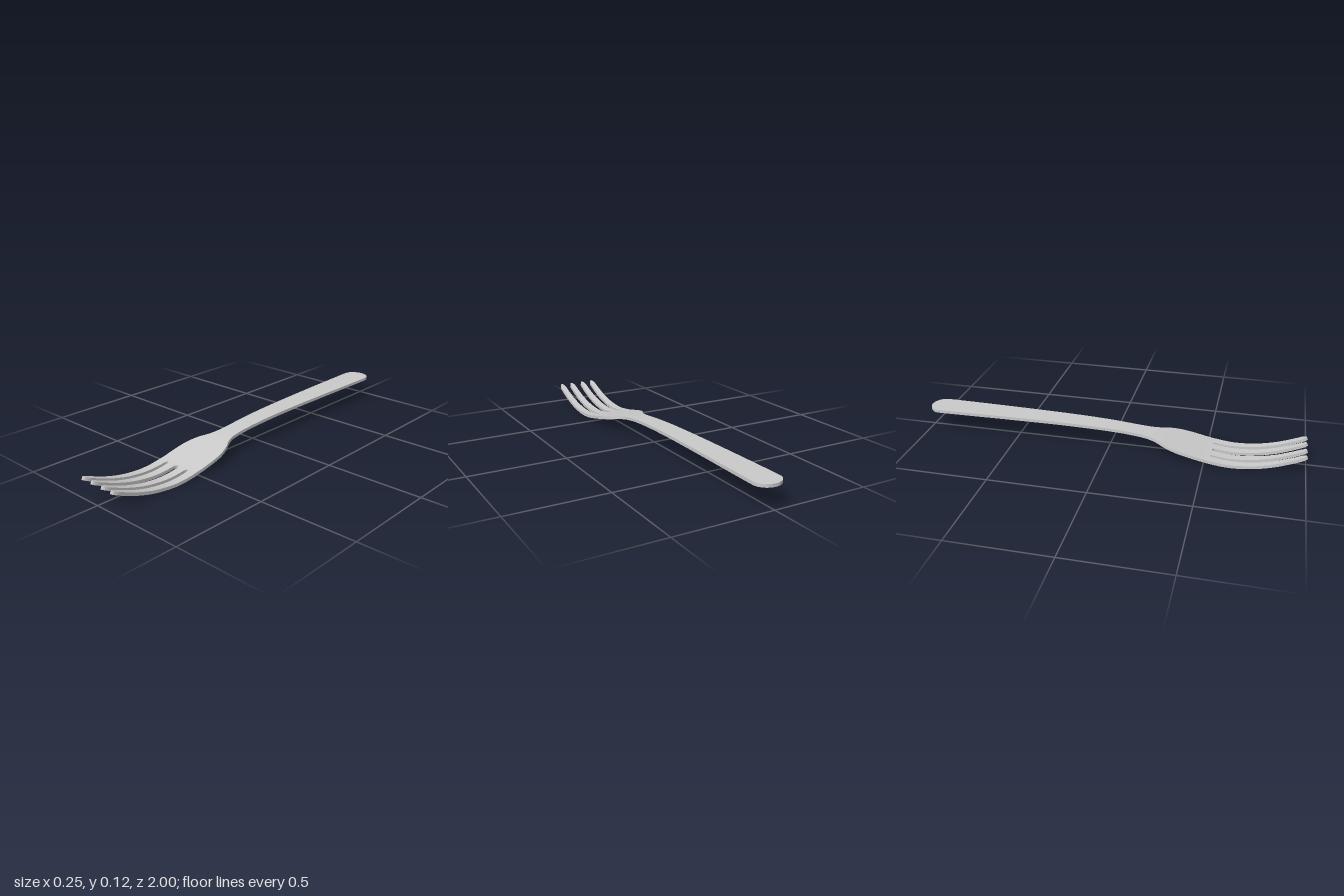
import * as THREE from 'three';
import { toCreasedNormals } from 'three/addons/utils/BufferGeometryUtils.js';

const THICK = 0.016, NECK = 0.2, ROOT = 0.53, TIP = 0.9975;

// Smooth curve through [z, value] keys
function smooth(keys) {
  const slope = (i) => {
    const a = keys[Math.max(i - 1, 0)], b = keys[Math.min(i + 1, keys.length - 1)];
    return (b[1] - a[1]) / (b[0] - a[0]);
  };
  return (z) => {
    let i = 0;
    while (i < keys.length - 2 && z > keys[i + 1][0]) i++;
    const [z0, v0] = keys[i], [z1, v1] = keys[i + 1];
    const d = z1 - z0, t = (z - z0) / d, t2 = t * t, t3 = t2 * t;
    return (2 * t3 - 3 * t2 + 1) * v0 + (t3 - 2 * t2 + t) * d * slope(i)
      + (3 * t2 - 2 * t3) * v1 + (t3 - t2) * d * slope(i + 1);
  };
}

// Side profile: height of the middle of the metal along z
const height = smooth([[-1, 0.112], [-0.5, 0.112], [-0.2, 0.109], [0, 0.102], [0.15, 0.09], [0.25, 0.077],
  [0.4, 0.046], [0.53, 0.019], [0.64, 0.008], [0.75, 0.017], [0.84, 0.037], [0.92, 0.065], [1, 0.099]]);

// Plan: half width of the handle and head, with a rounded handle end
const width = smooth([[-1, 0.071], [-0.9, 0.071], [-0.6, 0.065], [-0.3, 0.058], [0, 0.052], [0.12, 0.05],
  [0.2, 0.055], [0.25, 0.07], [0.3, 0.098], [0.35, 0.115], [0.41, 0.1225], [0.53, 0.123]]);
const END = 0.065;
const round = (s) => Math.sqrt(Math.max(0, 1 - (1 - Math.min(s, 1)) ** 2));
const halfWidth = (z) => width(z) * round((z + 1) / END);

const span = (a, b, n) => Array.from({ length: n + 1 }, (_, i) => a + (b - a) * i / n);
// Denser steps towards a (rounded end at a)
const arcSpan = (a, b, n) => span(0, Math.PI / 2, n).map((t) => a + (b - a) * (1 - Math.cos(t)));

// Bent strip of metal with given left and right edges at each z
function strip(name, zs, edges, material) {
  const rings = zs.map((z) => {
    const [l, r] = edges(z), e = 0.004;
    const slope = (height(z + e) - height(z - e)) / (2 * e);
    const n = THICK / 2 / Math.hypot(1, slope), y = height(z);
    const dy = n, dz = -slope * n;
    return [[l, y + dy, z + dz], [r, y + dy, z + dz], [r, y - dy, z - dz], [l, y - dy, z - dz]];
  });
  const pos = [];
  for (let k = 0; k < rings.length - 1; k++) {
    const a = rings[k], b = rings[k + 1];
    for (let i = 0; i < 4; i++) {
      const j = (i + 1) % 4;
      pos.push(...a[i], ...b[i], ...b[j], ...a[i], ...b[j], ...a[j]);
    }
  }
  const geo = new THREE.BufferGeometry();
  geo.setAttribute('position', new THREE.Float32BufferAttribute(pos, 3));
  const mesh = new THREE.Mesh(toCreasedNormals(geo, 0.6), material);
  mesh.name = name;
  return mesh;
}

export function createModel() {
  const group = new THREE.Group();
  group.name = 'fork';
  const metal = new THREE.MeshStandardMaterial({ color: 0xcccccc });
  const bodyEdges = (z) => [-halfWidth(z), halfWidth(z)];

  // Handle and head
  const handleZ = [...arcSpan(-1, -1 + END, 12), ...span(-1 + END, NECK, 44).slice(1)];
  group.add(strip('handle', handleZ, bodyEdges, metal));
  group.add(strip('head', span(NECK, ROOT, 32), bodyEdges, metal));

  // Four tapering tines; the slots between them have rounded ends
  const ARC = 0.014, POINT = 0.035;
  const tineZ = [...arcSpan(ROOT, ROOT + ARC, 8), ...span(ROOT + ARC, TIP - POINT, 30).slice(1),
    ...arcSpan(TIP, TIP - POINT, 10).reverse().slice(1)];
  const bounds = [-0.123, -0.067, 0, 0.067, 0.123];
  const centres = [-0.1, -0.036, 0.036, 0.1];
  const tines = new THREE.Group();
  tines.name = 'tines';
  centres.forEach((c, i) => {
    const edges = (z) => {
      const t = (z - ROOT) / (TIP - ROOT);
      const half = (0.0235 - 0.009 * t) * round((TIP - z) / POINT);
      const k = round((z - ROOT) / ARC);
      return [THREE.MathUtils.lerp(bounds[i], c - half, k), THREE.MathUtils.lerp(bounds[i + 1], c + half, k)];
    };
    tines.add(strip('tine' + (i + 1), tineZ, edges, metal));
  });
  group.add(tines);
  return group;
}
